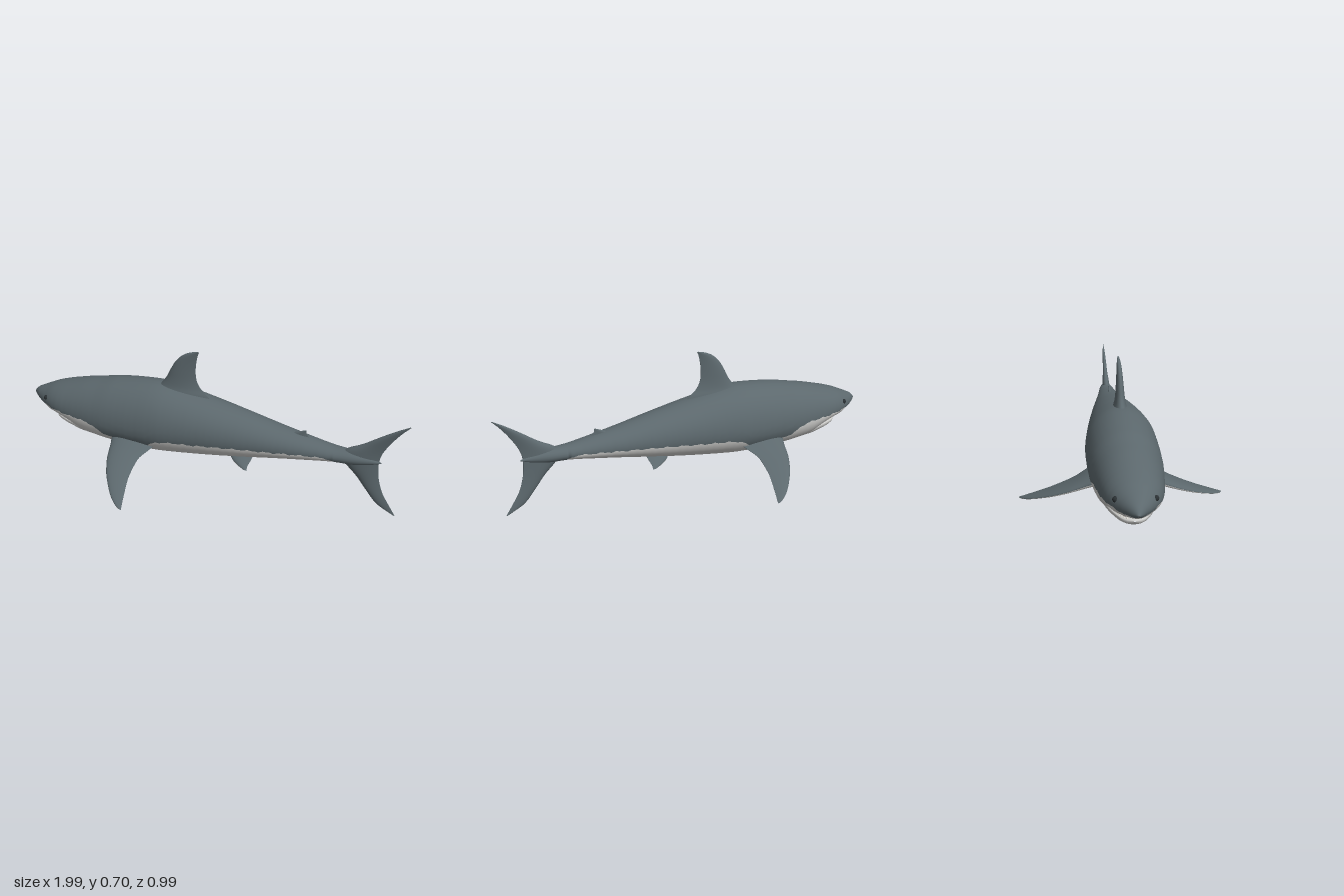
import * as THREE from 'three';

const mat = (name, color) => {
  const m = new THREE.MeshStandardMaterial({ color });
  m.name = name;
  return m;
};

// Smooth interpolation of table rows keyed by their first column.
function sample(rows, k) {
  let i = 0;
  while (i < rows.length - 2 && k > rows[i + 1][0]) i++;
  const a = rows[i], b = rows[i + 1], h = b[0] - a[0];
  const p = rows[Math.max(i - 1, 0)], q = rows[Math.min(i + 2, rows.length - 1)];
  const t = (k - a[0]) / h, t2 = t * t, t3 = t2 * t;
  return a.map((v, c) => {
    const m0 = (b[c] - p[c]) / (b[0] - p[0]) * h, m1 = (q[c] - v) / (q[0] - a[0]) * h;
    return (2 * t3 - 3 * t2 + 1) * v + (t3 - 2 * t2 + t) * m0 + (3 * t2 - 2 * t3) * b[c] + (t3 - t2) * m1;
  });
}

// Skin of closed rings; the first half of each ring takes material 0, the rest material 1.
function skin(rows, steps, half, ring, flip = false) {
  const n = half * 2, pos = [], faces = [[], []];
  const k0 = rows[0][0], k1 = rows[rows.length - 1][0];
  for (let i = 0; i <= steps; i++) {
    const s = sample(rows, k0 + (k1 - k0) * (i / steps));
    for (let j = 0; j < n; j++) pos.push(...ring(s, j));
  }
  for (let i = 0; i < steps; i++) {
    for (let j = 0; j < n; j++) {
      const a = i * n + j, b = i * n + (j + 1) % n, c = a + n, d = b + n;
      faces[j < half ? 0 : 1].push(...(flip ? [a, c, b, b, c, d] : [a, b, c, b, d, c]));
    }
  }
  const g = new THREE.BufferGeometry();
  g.setAttribute('position', new THREE.Float32BufferAttribute(pos, 3));
  g.setIndex([...faces[0], ...faces[1]]);
  g.addGroup(0, faces[0].length, 0);
  g.addGroup(faces[0].length, faces[1].length, 1);
  g.computeVertexNormals();
  return g;
}

// Oval body sections, row: [x, top, bottom, halfWidth, widestY, colourLine].
function loft(rows, steps, half = 20) {
  return skin(rows, steps, half, ([x, top, bottom, w, mid, line], j) => {
    const l = line + 0.003 * Math.sin(x * 75) + 0.002 * Math.sin(x * 170);
    const c = l > mid ? (l - mid) / (top - mid) : (l - mid) / (mid - bottom);
    const a = Math.acos(THREE.MathUtils.clamp(c, -0.9999, 0.9999));
    const th = j < half ? -a + 2 * a * j / half : a + 2 * (Math.PI - a) * (j - half) / half;
    const cos = Math.cos(th);
    return [x, mid + cos * (cos > 0 ? top - mid : mid - bottom), w * Math.sin(th)];
  });
}

// Foil-shaped fin, row: [span, leadX, trailX, halfThickness]; place(span, offset) gives [y, z].
function fin(rows, place, flip = false, half = 12) {
  return skin(rows, 36, half, ([k, lead, trail, thick], j) => {
    const t = (1 - Math.cos(Math.PI * j / half)) / 2;
    const f = 2.6 * Math.sqrt(t) * (1 - t) * thick * (j < half ? 1 : -1);
    return [lead + (trail - lead) * t, ...place(k, f)];
  }, flip);
}

const BODY = [
  [-1.036, 0.281, 0.277, 0.003, 0.279, 0.26],
  [-1.015, 0.305, 0.262, 0.025, 0.28, 0.262],
  [-0.985, 0.322, 0.245, 0.05, 0.28, 0.26],
  [-0.93, 0.347, 0.225, 0.085, 0.275, 0.264],
  [-0.885, 0.367, 0.213, 0.11, 0.272, 0.267],
  [-0.83, 0.385, 0.204, 0.13, 0.27, 0.265],
  [-0.76, 0.405, 0.175, 0.145, 0.265, 0.262],
  [-0.68, 0.426, 0.13, 0.157, 0.262, 0.26],
  [-0.6, 0.443, 0.12, 0.167, 0.26, 0.25],
  [-0.5, 0.465, 0.113, 0.176, 0.262, 0.2],
  [-0.3, 0.488, 0.11, 0.18, 0.27, 0.185],
  [-0.2, 0.485, 0.115, 0.176, 0.278, 0.232],
  [0, 0.452, 0.14, 0.154, 0.285, 0.25],
  [0.2, 0.414, 0.172, 0.127, 0.285, 0.265],
  [0.4, 0.373, 0.208, 0.097, 0.286, 0.275],
  [0.6, 0.338, 0.24, 0.064, 0.287, 0.283],
  [0.67, 0.328, 0.25, 0.054, 0.288, 0.275],
  [0.7, 0.326, 0.252, 0.05, 0.288, 0.23],
  [0.78, 0.322, 0.254, 0.038, 0.288, 0.22],
  [0.86, 0.306, 0.27, 0.018, 0.288, 0.22],
  [0.91, 0.29, 0.286, 0.002, 0.288, 0.22],
];
const JAW = [
  [-0.89, 0.19, 0.184, 0.004, 0.187, 0.1],
  [-0.882, 0.196, 0.172, 0.03, 0.186, 0.1],
  [-0.865, 0.2, 0.162, 0.052, 0.187, 0.1],
  [-0.83, 0.202, 0.152, 0.075, 0.19, 0.1],
  [-0.76, 0.205, 0.141, 0.102, 0.19, 0.1],
  [-0.66, 0.205, 0.128, 0.12, 0.19, 0.1],
  [-0.56, 0.2, 0.15, 0.08, 0.18, 0.1],
];
const MOUTH = [
  [-0.876, 0.212, 0.19, 0.01, 0.2, 0.1],
  [-0.85, 0.23, 0.185, 0.052, 0.205, 0.1],
  [-0.8, 0.235, 0.185, 0.083, 0.207, 0.1],
  [-0.7, 0.23, 0.185, 0.09, 0.207, 0.1],
];
const DORSAL = [
  [0.42, -0.31, 0.04, 0.045], [0.46, -0.28, 0.01, 0.038], [0.49, -0.25, -0.025, 0.029],
  [0.53, -0.22, -0.05, 0.023], [0.58, -0.195, -0.058, 0.019], [0.63, -0.165, -0.055, 0.015],
  [0.67, -0.125, -0.048, 0.011], [0.69, -0.085, -0.042, 0.007], [0.7, -0.044, -0.037, 0.002],
];
const REAR_DORSAL = [
  [0.33, 0.42, 0.56, 0.012], [0.355, 0.46, 0.54, 0.008],
  [0.37, 0.495, 0.532, 0.005], [0.383, 0.526, 0.532, 0.001],
];
const TAIL = [
  [0.003, 1.0, 1.006, 0.001], [0.05, 0.912, 0.975, 0.006], [0.12, 0.85, 0.932, 0.01],
  [0.19, 0.795, 0.908, 0.014], [0.25, 0.735, 0.899, 0.02], [0.288, 0.71, 0.898, 0.023],
  [0.33, 0.735, 0.905, 0.02], [0.37, 0.806, 0.922, 0.014], [0.43, 0.89, 0.958, 0.01],
  [0.48, 0.963, 0.995, 0.006], [0.515, 1.021, 1.027, 0.001],
];
const PECTORAL = [
  [0.1, -0.5, -0.21, 0.032], [0.18, -0.469, -0.253, 0.025], [0.226, -0.457, -0.279, 0.02],
  [0.27, -0.445, -0.285, 0.016], [0.33, -0.418, -0.284, 0.013], [0.362, -0.4, -0.28, 0.011],
  [0.428, -0.352, -0.264, 0.008], [0.47, -0.314, -0.253, 0.006],
  [0.5, -0.276, -0.244, 0.004], [0.514, -0.248, -0.24, 0.001],
];
const PELVIC = [
  [0.04, 0.14, 0.28, 0.014], [0.08, 0.175, 0.27, 0.011],
  [0.1, 0.21, 0.265, 0.007], [0.118, 0.255, 0.268, 0.001],
];

export function createModel() {
  const back = mat('slateBack', 0x5c686d), belly = mat('paleBelly', 0xcbcbc9);
  const dark = mat('darkMouth', 0x3a2f30), eyeMat = mat('eyeBlack', 0x2a3033), white = mat('toothWhite', 0xe8e6de);
  const shark = new THREE.Group();
  shark.name = 'shark';
  const add = (name, geometry, material) => {
    const m = new THREE.Mesh(geometry, material);
    m.name = name;
    shark.add(m);
    return m;
  };

  // Body, jaw and mouth
  add('body', loft(BODY, 200), [back, belly]);
  add('lowerJaw', loft(JAW, 40), [belly, belly]);
  add('mouthInterior', loft(MOUTH, 16), [dark, dark]);

  // Fins on the centre plane
  const upright = (y, f) => [y, f];
  add('dorsalFin', fin(DORSAL, upright), [back, back]);
  add('rearDorsalFin', fin(REAR_DORSAL, upright), [back, back]);
  add('tailFin', fin(TAIL, upright), [back, back]);

  // Paired parts
  for (const side of [-1, 1]) {
    const label = side > 0 ? 'right' : 'left';
    const flip = side > 0;
    add(label + 'PectoralFin', fin(PECTORAL, (w, f) => [0.175 - 0.43 * (w - 0.18) + f, side * w], flip), [back, belly]);
    add(label + 'PelvicFin', fin(PELVIC, (w, f) => [0.235 - 0.72 * w + f, side * w], flip), [back, belly]);

    // Eye set on the skin of the head
    const [x, top, , w, mid] = sample(BODY, -0.91);
    const rise = (0.302 - mid) / (top - mid);
    const eye = add(label + 'Eye', new THREE.SphereGeometry(0.014, 20, 14), eyeMat);
    eye.position.set(x, 0.302, side * (w * Math.sqrt(1 - rise * rise) - 0.006));

    // Teeth along the jaw rim
    for (let i = 0; i < 8; i++) {
      const s = sample(JAW, -0.878 + i * 0.013);
      const tooth = add(label + 'Tooth', new THREE.ConeGeometry(0.005, 0.018, 6), white);
      tooth.position.set(s[0], 0.205, side * s[3] * 0.86);
    }
  }

  // Heading turned a little from the x axis
  shark.rotation.y = -0.264;
  shark.position.z = 0.055;
  const model = new THREE.Group();
  model.name = 'model';
  model.add(shark);
  return model;
}
